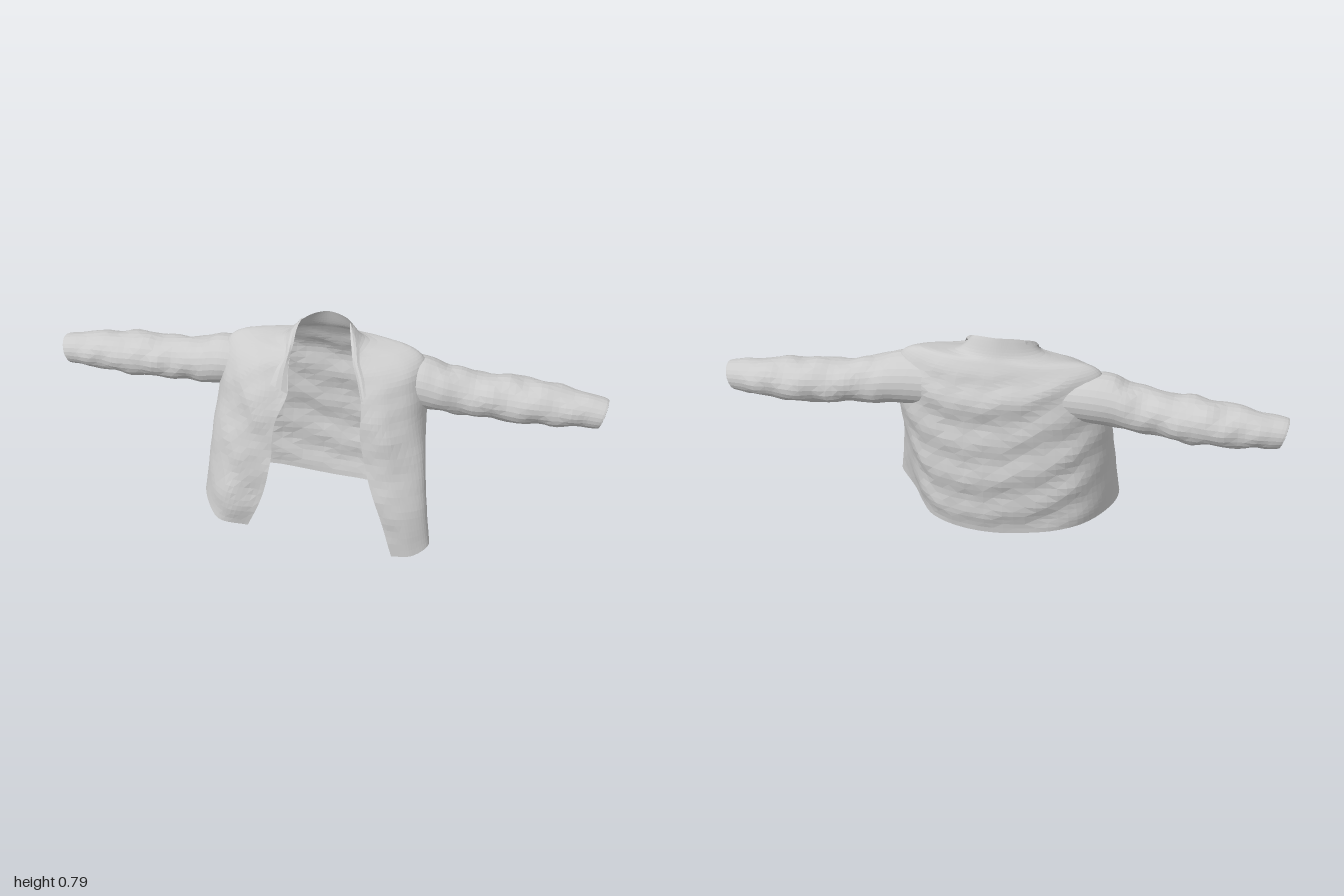
import * as THREE from 'three';

const cloth = new THREE.MeshStandardMaterial({ color: 0xcccccc, flatShading: true, side: THREE.DoubleSide });
const V = (p) => new THREE.Vector3(...p);
const curve = (pts) => new THREE.CatmullRomCurve3(pts, false, 'centripetal');
const step = THREE.MathUtils.smoothstep;

// Left half of the torso, hem to collar: front, front corner, side, back side, back centre
const HALF = [
  [[.385, .012, .208], [.437, .04, .16], [.34, .055, 0], [.23, .04, -.148], [0, .03, -.192]],
  [[.36, .15, .2], [.42, .15, .145], [.345, .15, -.015], [.24, .15, -.158], [0, .15, -.207]],
  [[.315, .3, .172], [.4, .3, .115], [.355, .3, -.035], [.25, .3, -.163], [0, .3, -.215]],
  [[.28, .45, .142], [.365, .45, .06], [.37, .45, -.06], [.26, .45, -.162], [0, .45, -.206]],
  [[.26, .57, .1], [.345, .57, .025], [.37, .57, -.08], [.255, .58, -.163], [0, .58, -.205]],
  [[.24, .65, .05], [.32, .66, -.005], [.355, .668, -.075], [.25, .65, -.148], [0, .65, -.18]],
  [[.2, .69, 0], [.27, .697, -.035], [.305, .702, -.078], [.2, .7, -.13], [0, .7, -.155]],
  [[.135, .7, -.01], [.145, .71, -.05], [.145, .715, -.085], [.1, .72, -.12], [0, .725, -.14]],
  [[.11, .735, -.025], [.102, .755, -.06], [.09, .77, -.085], [.06, .78, -.105], [0, .785, -.12]],
];
// The right side hangs wider, its hem rides higher and its shoulder sits lower
const RIGHT_WIDEN = [.07, .055, .035, .01];
const RIGHT_LIFT = [.06, .015, 0, 0, 0, -.012, -.012];
// Front opening edges, hem to collar
const LEFT_EDGE = [[.31, 0, .214], [.265, .15, .207], [.21, .3, .175], [.175, .45, .15], [.17, .57, .115],
  [.145, .64, .075], [.125, .68, .045], [.118, .7, .025], [.112, .715, .01]];
const RIGHT_EDGE = [[-.23, .03, .19], [-.18, .15, .19], [-.145, .3, .17], [-.135, .45, .145], [-.095, .57, .11],
  [-.1, .64, .07], [-.1, .68, .04], [-.1, .7, .02], [-.095, .715, .01]];
// Sleeve stations: x, centre y, centre z, half height, half depth; the last one turns the cuff in
const SLEEVE = [
  [.32, .577, -.074, .096, .092], [.37, .573, -.074, .094, .093], [.45, .555, -.077, .085, .087],
  [.55, .543, -.085, .077, .084], [.68, .535, -.095, .079, .092], [.8, .53, -.097, .073, .084],
  [.92, .523, -.097, .06, .066], [.985, .517, -.093, .05, .055], [.965, .514, -.093, .038, .047],
];

// Grid surface from a point function; keep() may leave quads out
function sheet(nu, nv, pointAt, keep = () => true) {
  const pos = [], index = [], mid = new THREE.Vector3();
  for (let j = 0; j <= nv; j++)
    for (let i = 0; i <= nu; i++) pos.push(...pointAt(i / nu, j / nv).toArray());
  for (let j = 0; j < nv; j++)
    for (let i = 0; i < nu; i++) {
      const a = j * (nu + 1) + i, b = a + 1, c = a + nu + 1, d = c + 1;
      mid.set(...[0, 1, 2].map((k) => (pos[a * 3 + k] + pos[d * 3 + k]) / 2));
      if (keep(mid)) index.push(...((i + j) % 2 ? [a, b, d, a, d, c] : [a, b, c, b, d, c]));
    }
  const g = new THREE.BufferGeometry();
  g.setAttribute('position', new THREE.Float32BufferAttribute(pos, 3));
  g.setIndex(index);
  g.computeVertexNormals();
  return g;
}

// Push vertices along their normals to make cloth folds
function wrinkle(g, fold) {
  const p = g.attributes.position, n = g.attributes.normal, q = new THREE.Vector3();
  for (let i = 0; i < p.count; i++) {
    q.fromBufferAttribute(p, i);
    const h = fold(q);
    p.setXYZ(i, q.x + n.getX(i) * h, q.y + n.getY(i) * h, q.z + n.getZ(i) * h);
  }
  g.computeVertexNormals();
  return g;
}

function part(name, geometry) {
  const m = new THREE.Mesh(geometry, cloth);
  m.name = name;
  return m;
}

// Open-fronted torso with collar and armholes
function torsoGeometry() {
  const rightPoint = (k, r) => {
    const [x, y, z] = HALF[r][k], w = RIGHT_WIDEN[r] || 0, lift = RIGHT_LIFT[r] || 0;
    if (k === 0) return [-x + (r < 5 ? .04 : 0), y + lift / 2, z - w / 4];
    if (k === 1) return [-x + w / 4, y + lift, z - w];
    return [-x - w + (r > 6 ? .015 : 0), y + lift / 2, z + w / 8];
  };
  const columns = [
    (r) => RIGHT_EDGE[r],
    ...[0, 1, 2, 3].map((k) => (r) => rightPoint(k, r)),
    ...[4, 3, 2, 1, 0].map((k) => (r) => HALF[r][k]),
    (r) => LEFT_EDGE[r],
  ].map((fn) => curve(HALF.map((_, r) => V(fn(r)))));
  const NV = 44, rows = Array.from({ length: NV + 1 }, (_, j) => curve(columns.map((c) => c.getPoint(j / NV))));
  const outsideArmhole = (p) =>
    Math.abs(p.x) < .3 || ((p.y - .565) / .072) ** 2 + ((p.z + .08) / .07) ** 2 > 1;
  const g = sheet(80, NV, (u, v) => rows[Math.round(v * NV)].getPoint(u), outsideArmhole);
  return wrinkle(g, ({ x, y, z }) => {
    const calm = step(y, 0, .12) * (1 - step(y, .62, .7)) * (1 - .6 * step(Math.abs(x), .28, .36));
    // Sagging folds across the back, uneven drape at the front
    const back = Math.sin(42 * y - 40 * x * x + 2 * Math.sin(5 * x)) * .005;
    const front = Math.sin(32 * x + 9 * y) * .004 + Math.sin(28 * y + 17 * x) * .004;
    const t = step(z, -.12, .02);
    return calm * (back * (1 - t) + front * t + .002 * Math.sin(47 * x + 30 * z) * Math.sin(55 * y + 9 * x));
  });
}

// Sleeve with turned-in cuff, twisting folds, and a root that runs on into the back
function sleeveGeometry(side) {
  const centre = curve(SLEEVE.map((s) => V([s[0], s[1], s[2]])));
  const radii = curve(SLEEVE.map((s) => V([s[0], s[3], s[4]])));
  return sheet(24, 44, (u, v) => {
    const c = centre.getPoint(v), r = radii.getPoint(v), a = u * Math.PI * 2;
    const slant = step(c.x, .85, .98) * .3, root = 1 - step(c.x, .32, .42);
    const f = 1 + step(c.x, .36, .45) * (1 - step(c.x, .9, .98)) *
      (.04 * Math.sin(40 * c.x + 2 * a + side) + .035 * Math.sin(60 * c.x - 3 * a) * Math.sin(a + 11 * c.x));
    const y = Math.cos(a) * r.y * f, reach = root * .09 * Math.max(0, -Math.sin(a));
    const drop = side < 0 ? .012 * root * step(y, -.05, .09) : 0;
    return V([side * (c.x - reach + y * slant), c.y + y - drop, c.z + Math.sin(a) * r.z * f]);
  });
}

// Narrow folded collar lying close outside the neck opening
function lapelGeometry(side) {
  const edge = side > 0 ? LEFT_EDGE : RIGHT_EDGE;
  const inner = curve([[side * .085, .768, -.085], [side * .095, .748, -.045], edge[8], edge[6], edge[5], edge[4]].map(V));
  const outer = curve([[.095, .755, -.09], [.12, .735, -.05], [.138, .712, .002], [.147, .685, .038], [.17, .645, .074], [.185, .6, .108]]
    .map(([x, y, z]) => V([side * (x - (side < 0 ? .03 * step(z, -.05, .05) : 0)), y, z])));
  return sheet(14, 3, (u, v) => {
    const p = inner.getPoint(u).lerp(outer.getPoint(u), v);
    p.z += .006 * Math.sin(v * Math.PI);
    p.y += .004 * Math.sin(v * Math.PI);
    return p;
  });
}

export function createModel() {
  const jacket = new THREE.Group();
  jacket.name = 'jacket';
  jacket.add(part('torso', torsoGeometry()));
  for (const [side, label] of [[1, 'left'], [-1, 'right']]) {
    jacket.add(part(label + 'Sleeve', sleeveGeometry(side)));
    jacket.add(part(label + 'Lapel', lapelGeometry(side)));
  }
  return jacket;
}
